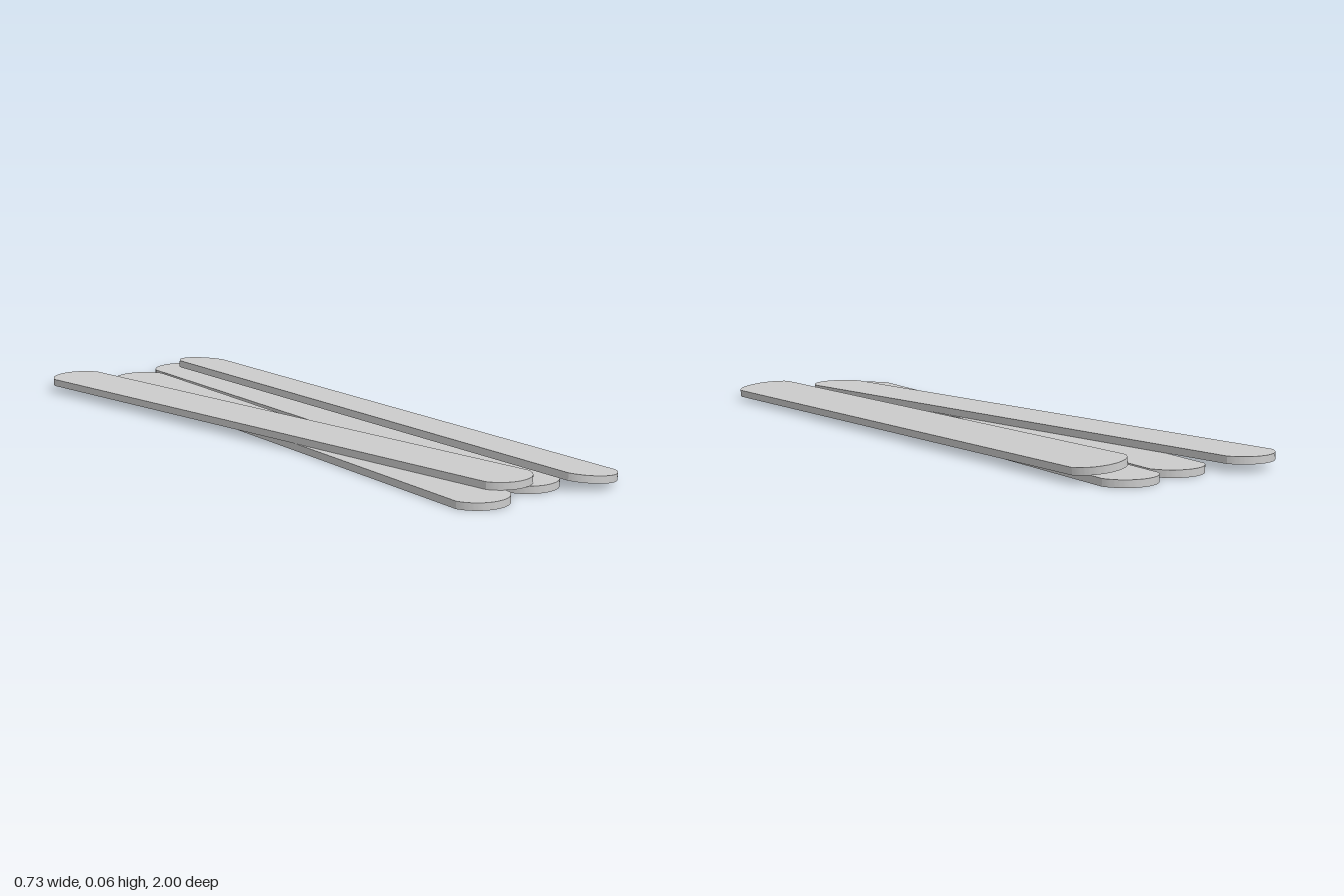
import * as THREE from 'three';
import { toCreasedNormals } from 'three/addons/utils/BufferGeometryUtils.js';

const HALF_WIDTH = 0.0875;   // half the stick width
const HALF_STRAIGHT = 0.9025; // half the straight-sided length
const TIP = 0.06;            // how far the rounded end bulges
const THICKNESS = 0.021;

// Flat stick with shallow circular ends, lying along z and centred on the origin
function stickGeometry() {
  const radius = (HALF_WIDTH ** 2 + TIP ** 2) / (2 * TIP);
  const spread = Math.asin(HALF_WIDTH / radius);
  const centre = HALF_STRAIGHT + TIP - radius;
  const up = Math.PI / 2;
  const outline = new THREE.Shape();
  outline.absarc(0, centre, radius, up - spread, up + spread, false);
  outline.absarc(0, -centre, radius, -up - spread, -up + spread, false);
  outline.closePath();
  const geometry = new THREE.ExtrudeGeometry(outline, {
    depth: THICKNESS, bevelEnabled: false, curveSegments: 18,
  });
  geometry.translate(0, 0, -THICKNESS / 2);
  geometry.rotateX(-Math.PI / 2);
  return toCreasedNormals(geometry, 0.25);
}

export function createModel() {
  const group = new THREE.Group();
  group.name = 'stickPile';
  const geometry = stickGeometry();
  const material = new THREE.MeshStandardMaterial({ color: 0xcccccc });

  // Centre, turn about the vertical, and sideways lean of each stick
  const sticks = [
    { name: 'bottomRightStick', at: [-0.074, 0.0108, 0.018], turn: -0.007, lean: 0 },
    { name: 'bottomLeftStick', at: [0.125, 0.0108, -0.0375], turn: 0.0095, lean: 0 },
    { name: 'crossingStick', at: [-0.114, 0.0326, -0.029], turn: 0.185, lean: 0 },
    { name: 'leaningStick', at: [0.219, 0.0355, 0.037], turn: 0.064, lean: -0.1 },
  ];
  for (const { name, at, turn, lean } of sticks) {
    const stick = new THREE.Mesh(geometry, material);
    stick.name = name;
    stick.position.set(...at);
    stick.rotation.set(0, turn, lean, 'ZYX');
    group.add(stick);
  }
  return group;
}
